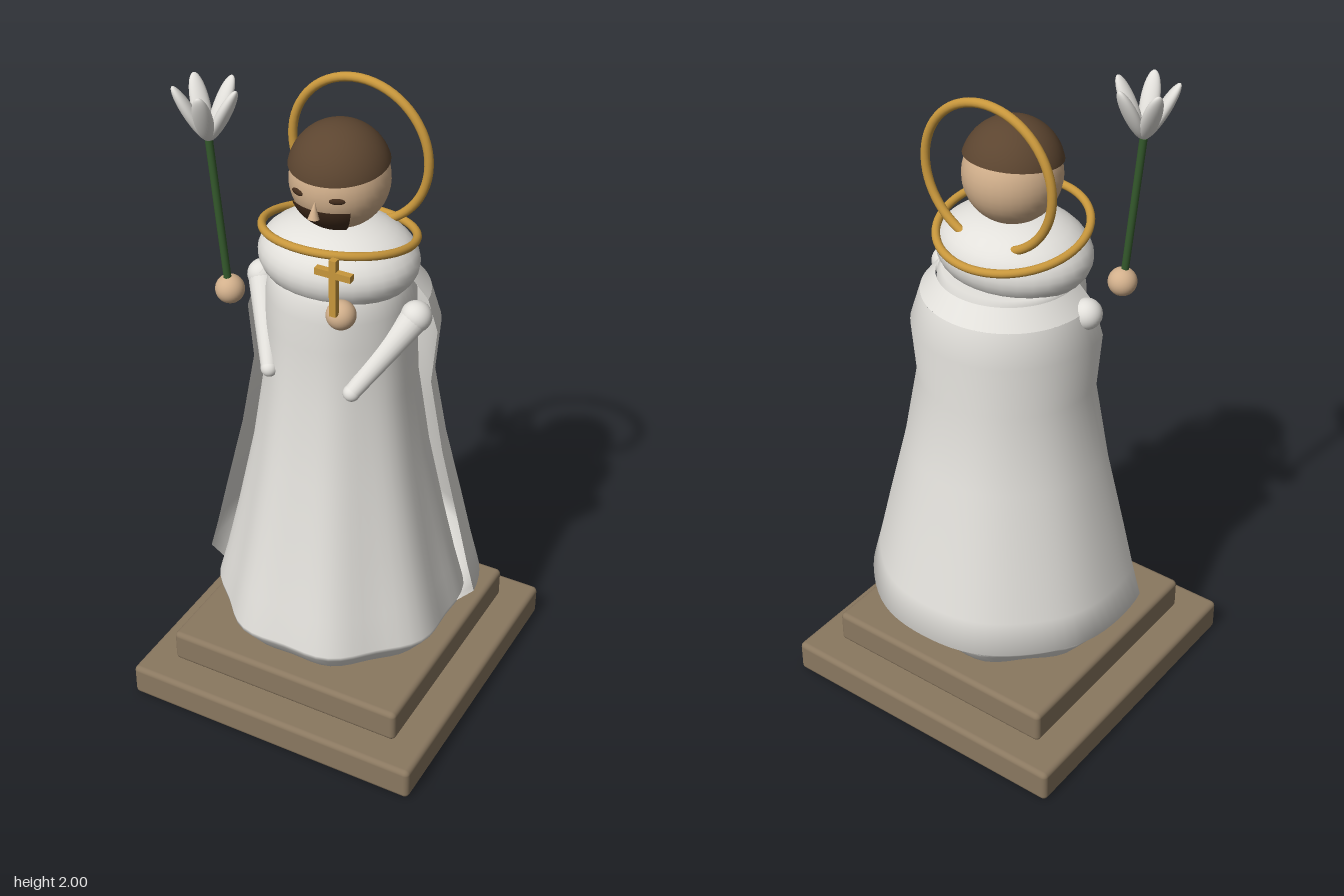
import * as THREE from 'three';
import { mergeVertices } from 'three/addons/utils/BufferGeometryUtils.js';
import { RoundedBoxGeometry } from 'three/addons/geometries/RoundedBoxGeometry.js';

const material = (name, color, side = THREE.FrontSide) => {
  const m = new THREE.MeshStandardMaterial({ color, side });
  m.name = name;
  return m;
};

export function createModel() {
  const model = new THREE.Group();
  model.name = 'robedStatue';

  const cloth = material('white cloth', 0xe2e0db, THREE.DoubleSide);
  const wood = material('brown plinth', 0x8a7860);
  const gold = material('gold', 0xc8973c);
  const skin = material('skin', 0xd2b08c);
  const hairBrown = material('hair brown', 0x5c4530, THREE.DoubleSide);
  const beardBrown = material('beard brown', 0x422c1c, THREE.DoubleSide);
  const green = material('stem green', 0x34592c);

  const add = (name, geometry, mat, x = 0, y = 0, z = 0, parent = model) => {
    const mesh = new THREE.Mesh(geometry, mat);
    mesh.name = name;
    mesh.position.set(x, y, z);
    parent.add(mesh);
    return mesh;
  };
  const ball = (r) => new THREE.SphereGeometry(r, 32, 20);

  // Tapered rod between two points
  const rod = (name, a, b, ra, rb, mat, parent) => {
    const dir = b.clone().sub(a);
    const mesh = add(name, new THREE.CylinderGeometry(rb, ra, dir.length(), 20), mat, 0, 0, 0, parent);
    mesh.position.copy(a).addScaledVector(dir, 0.5);
    mesh.quaternion.setFromUnitVectors(new THREE.Vector3(0, 1, 0), dir.normalize());
    return mesh;
  };

  // Stepped plinth
  add('lowerPlinth', new RoundedBoxGeometry(0.96, 0.105, 0.96, 3, 0.016), wood, 0, 0.0525, 0);
  add('upperPlinth', new RoundedBoxGeometry(0.77, 0.105, 0.77, 3, 0.016), wood, 0, 0.16, 0);

  // Lathed cloth with soft vertical folds that deepen towards the hem
  const drape = (profile, segments, start, length, folds) => {
    const pts = profile.map(([r, y]) => new THREE.Vector2(r, y));
    let g = new THREE.LatheGeometry(pts, segments, start, length);
    const p = g.attributes.position;
    for (let i = 0; i < p.count; i++) {
      const angle = Math.atan2(p.getX(i), p.getZ(i));
      const depth = folds * THREE.MathUtils.clamp((1.5 - p.getY(i)) / 1.1, 0, 1);
      const k = 1 - depth * Math.cos(8 * angle);
      p.setX(i, p.getX(i) * k);
      p.setZ(i, p.getZ(i) * k);
    }
    g.deleteAttribute('uv');
    g.deleteAttribute('normal');
    g = mergeVertices(g, 1e-5);
    g.computeVertexNormals();
    return g;
  };

  // Robe
  add('robe', drape([
    [0, 0.212], [0.2, 0.213], [0.305, 0.222], [0.318, 0.23], [0.372, 0.3], [0.374, 0.315],
    [0.345, 0.43], [0.308, 0.6], [0.258, 0.85], [0.222, 1.1], [0.215, 1.28],
    [0.213, 1.37], [0.205, 1.425], [0.195, 1.435], [0, 1.435],
  ], 64, Math.PI, Math.PI * 2, 0.028), cloth);

  // Cape, open at the front
  add('cape', drape([
    [0.355, 0.29], [0.425, 0.36], [0.40, 0.46], [0.364, 0.62], [0.308, 0.86],
    [0.266, 1.1], [0.28, 1.27], [0.25, 1.37],
  ], 40, 1.74, 3.26, 0.006), cloth, 0, 0, -0.01);
  add('capeShoulder', drape([[0.25, 1.37], [0.205, 1.425]], 40, 1.74, 3.26, 0), cloth, 0, 0, -0.01);

  // Rounded hood around the neck
  add('hood', ball(1), cloth, 0, 1.485, 0.015).scale.set(0.235, 0.125, 0.195);
  add('neck', new THREE.CylinderGeometry(0.07, 0.08, 0.1, 24), skin, 0, 1.58, 0.01);

  // Tilted neck ring and upright halo
  const neckRing = add('neckRing', new THREE.TorusGeometry(0.215, 0.012, 14, 64), gold, 0, 1.56, 0.01);
  neckRing.rotation.x = Math.PI / 2 - 0.185;
  add('halo', new THREE.TorusGeometry(0.211, 0.013, 14, 64), gold, 0, 1.75, -0.105);

  // Head
  const head = new THREE.Group();
  head.name = 'head';
  head.position.set(0, 1.72, 0.008);
  model.add(head);
  add('face', ball(0.14), skin, 0, 0, 0, head);
  const hair = add('hair', new THREE.SphereGeometry(0.144, 40, 16, 0, Math.PI * 2, 0, 1.33),
    hairBrown, 0, 0.018, 0, head);
  hair.rotation.x = 0.12;
  add('beard', new THREE.SphereGeometry(0.146, 24, 12, Math.PI / 2 - 0.7, 1.4, 1.85, 0.72),
    beardBrown, 0, 0, 0, head);
  for (const s of [-1, 1]) {
    const eye = add('eye', ball(1), beardBrown, s * 0.06, -0.004, 0.127, head);
    eye.scale.set(0.022, 0.009, 0.006);
    eye.rotation.y = s * 0.4;
  }
  const nose = add('nose', new THREE.ConeGeometry(0.016, 0.05, 16), skin, 0, -0.036, 0.144, head);
  nose.rotation.x = -0.15;

  // Sleeves, wide at the shoulder and narrow at the end
  for (const s of [-1, 1]) {
    const sleeve = new THREE.Group();
    sleeve.name = s > 0 ? 'leftSleeve' : 'rightSleeve';
    model.add(sleeve);
    const shoulder = new THREE.Vector3(s * 0.245, 1.355, 0.02);
    const end = new THREE.Vector3(s * 0.132, 1.162, 0.185);
    rod('sleeveTube', shoulder, end, 0.043, 0.024, cloth, sleeve);
    add('sleeveTop', ball(0.045), cloth, ...shoulder, sleeve);
    add('sleeveEnd', ball(0.025), cloth, ...end, sleeve);
  }

  // Hands
  add('leftHand', ball(0.042), skin, 0.11, 1.42, 0.205);
  add('rightHand', ball(0.042), skin, -0.256, 1.386, 0.18);

  // Cross held in the left hand
  add('crossUpright', new THREE.BoxGeometry(0.02, 0.17, 0.02), gold, 0.11, 1.525, 0.245);
  add('crossBar', new THREE.BoxGeometry(0.108, 0.02, 0.02), gold, 0.11, 1.567, 0.245);

  // Flower on a stem held in the right hand
  const flowerBase = new THREE.Vector3(-0.297, 1.838, 0.19);
  rod('stem', new THREE.Vector3(-0.256, 1.386, 0.185), flowerBase, 0.011, 0.011, green, model);
  const flower = new THREE.Group();
  flower.name = 'flower';
  flower.position.copy(flowerBase);
  model.add(flower);
  for (let i = 0; i < 5; i++) {
    const pivot = new THREE.Group();
    pivot.name = 'petalPivot';
    pivot.rotation.y = (i * Math.PI * 2) / 5;
    flower.add(pivot);
    const petal = add('petal', ball(1), cloth, 0.047, 0.078, 0, pivot);
    petal.scale.set(0.018, 0.09, 0.027);
    petal.rotation.z = -0.5;
  }
  add('flowerCentre', ball(0.013), gold, 0, 0.035, 0, flower);

  return model;
}
